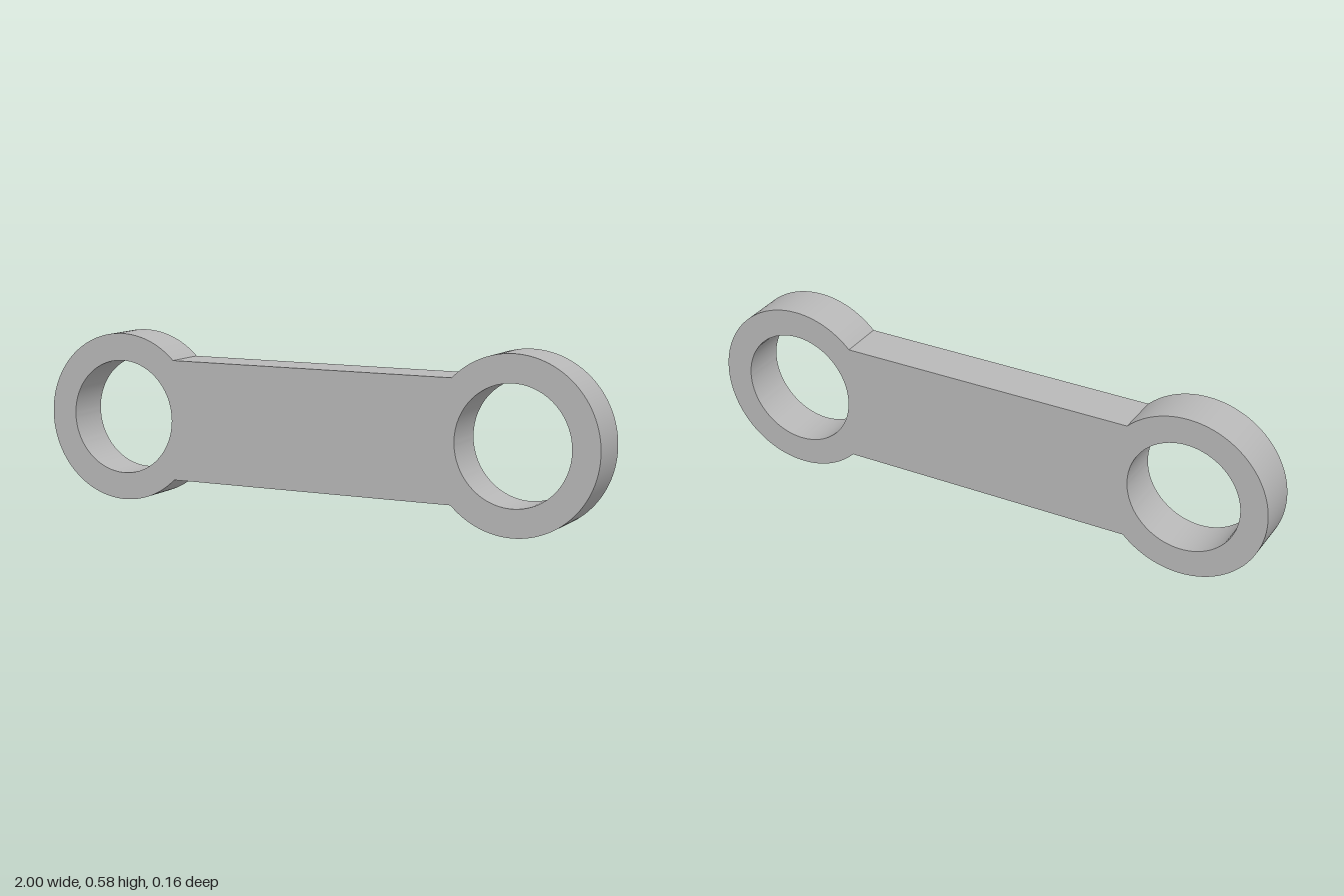
import * as THREE from 'three';
import { toCreasedNormals } from 'three/addons/utils/BufferGeometryUtils.js';

const DEPTH = 0.156;
const MID_Y = 0.29;
const BAR_HALF = 0.203; // half height of the straight bar
const EYES = {
  small: { x: -0.715, outer: 0.285, hole: 0.193 },
  large: { x: 0.71, outer: 0.29, hole: 0.197 },
};

export function createModel() {
  const group = new THREE.Group();
  group.name = 'connectingLink';
  const grey = new THREE.MeshStandardMaterial({ color: 0xb8b8b8 });
  grey.name = 'plain grey';

  // Outline: one arc round each eye, joined by the straight bar edges
  const { small, large } = EYES;
  const a = Math.asin(BAR_HALF / small.outer);
  const b = Math.asin(BAR_HALF / large.outer);
  const outline = new THREE.Shape();
  outline.absarc(small.x, MID_Y, small.outer, a, 2 * Math.PI - a, false);
  outline.absarc(large.x, MID_Y, large.outer, Math.PI + b, 3 * Math.PI - b, false);
  outline.closePath();

  // Round bore through each eye
  for (const eye of [small, large]) {
    const bore = new THREE.Path();
    bore.absarc(eye.x, MID_Y, eye.hole, 0, 2 * Math.PI, true);
    outline.holes.push(bore);
  }

  const geometry = new THREE.ExtrudeGeometry(outline, {
    depth: DEPTH, bevelEnabled: false, curveSegments: 64,
  });
  geometry.translate(0, 0, -DEPTH / 2);

  // Smooth the round walls, keep the rims and bar corners sharp
  const link = new THREE.Mesh(toCreasedNormals(geometry, 0.5), grey);
  link.name = 'linkBody';
  group.add(link);
  return group;
}
